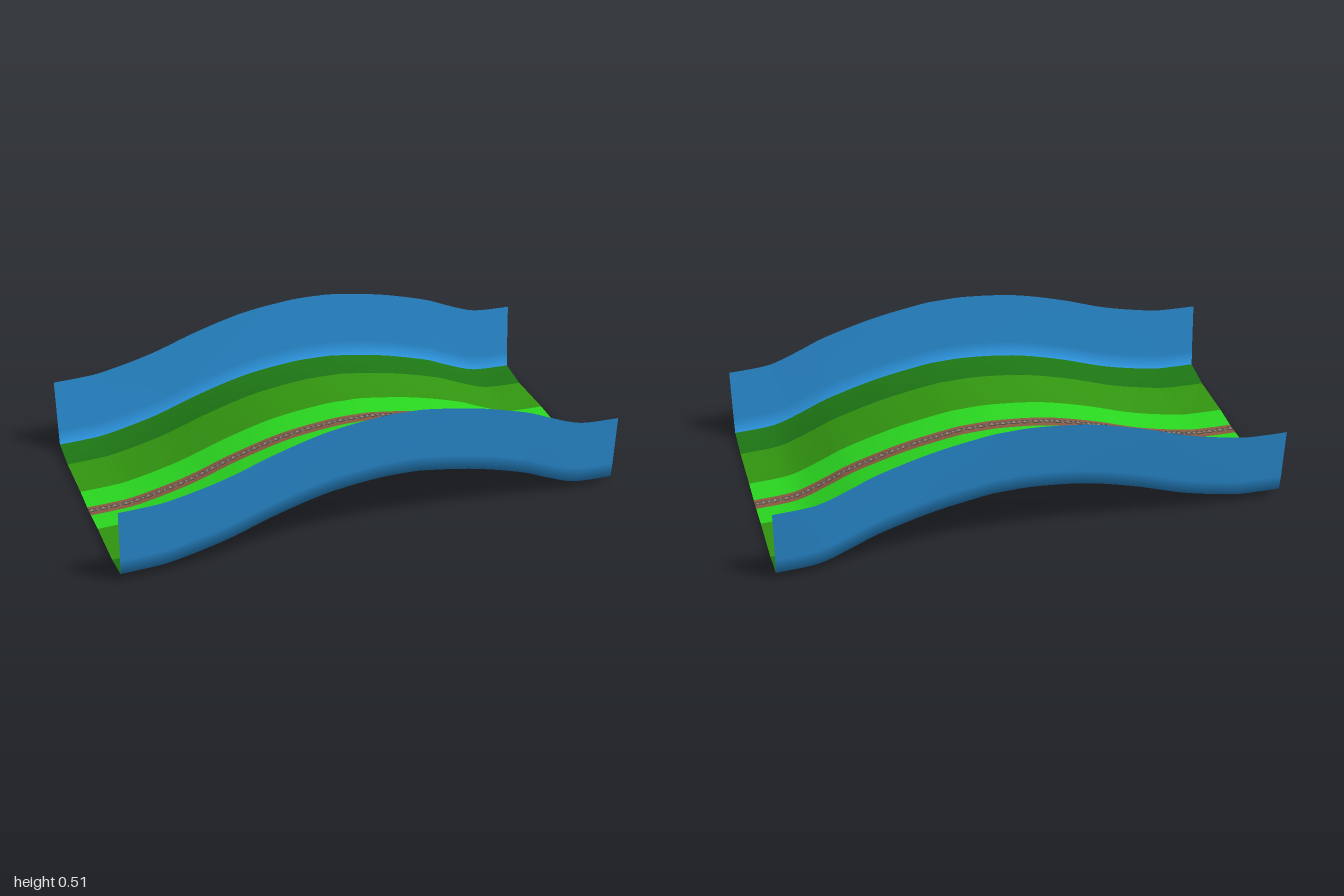
import * as THREE from 'three';
import { mergeGeometries } from 'three/addons/utils/BufferGeometryUtils.js';

const STEPS = 64;

// Height of the hill along x
const hill = new THREE.SplineCurve([
  [-1, 0.006], [-0.9, 0.008], [-0.8, 0.016], [-0.6, 0.061], [-0.4, 0.128], [-0.2, 0.18], [0, 0.203],
  [0.12, 0.203], [0.2, 0.197], [0.4, 0.161], [0.6, 0.104], [0.7, 0.062], [0.8, 0.021], [0.87, 0.006], [1, 0],
].map(([x, y]) => new THREE.Vector2(x, y)));
const hillPoints = hill.getSpacedPoints(STEPS);

// Half cross-section from the middle outwards: z, y
const half = [[0.03, 0.001], [0.14, 0.007], [0.36, 0.007], [0.49, 0.027], [0.497, 0.09], [0.511, 0.305]];
const section = [...half.map(([z, y]) => [-z, y]).reverse(), ...half];

// Whole sheet, so that the normals run smoothly over all bands
function makeSheet() {
  const positions = [];
  for (const p of hillPoints) for (const [z, y] of section) positions.push(p.x, p.y + y, z);
  const geometry = new THREE.BufferGeometry();
  geometry.setAttribute('position', new THREE.Float32BufferAttribute(positions, 3));
  geometry.setIndex(bandIndex(0, section.length - 1));
  geometry.computeVertexNormals();
  return geometry;
}

// Triangles of the sheet between two columns of the section
function bandIndex(from, to) {
  const n = section.length, index = [];
  for (let i = 0; i < STEPS; i++) {
    for (let j = from; j < to; j++) {
      const a = i * n + j, b = a + 1, c = a + n, d = c + 1;
      index.push(a, b, c, b, d, c);
    }
  }
  return index;
}

export function createModel() {
  const model = new THREE.Group();
  const sheet = makeSheet();
  const material = (color) => new THREE.MeshStandardMaterial({ color, side: THREE.DoubleSide });
  const blue = material(0x2a8fd6), darkGreen = material(0x1d7514);
  const green = material(0x329610), brightGreen = material(0x2ad820), brown = material(0x8a5a42);

  // Coloured bands from the back wall to the front wall
  const bands = [
    ['backWall', 0, 2, blue], ['backVerge', 2, 3, darkGreen], ['backField', 3, 4, green],
    ['backLawn', 4, 5, brightGreen], ['path', 5, 6, brown], ['frontLawn', 6, 7, brightGreen],
    ['frontField', 7, 8, green], ['frontVerge', 8, 9, darkGreen], ['frontWall', 9, 11, blue],
  ];
  for (const [name, from, to, mat] of bands) {
    const band = sheet.clone();
    band.setIndex(bandIndex(from, to));
    const mesh = new THREE.Mesh(band.toNonIndexed(), mat);
    mesh.name = name;
    model.add(mesh);
  }

  // Small chain lying along the middle of the path
  const plates = [], rollers = [];
  const count = 90;
  for (let i = 0; i < count; i++) {
    const u = (i + 0.5) / count;
    const p = hill.getPointAt(u), t = hill.getTangentAt(u);
    const place = (geometry, z) => geometry
      .translate(0, 0.002, z).rotateZ(Math.atan2(t.y, t.x)).translate(p.x, p.y + 0.001, 0);
    const offset = i % 2 ? 0.006 : 0.009;
    for (const side of [-1, 1]) plates.push(place(new THREE.BoxGeometry(0.02, 0.003, 0.003), side * offset));
    rollers.push(place(new THREE.BoxGeometry(0.009, 0.002, 0.016), 0));
  }
  const chain = new THREE.Group();
  chain.name = 'chain';
  const links = new THREE.Mesh(mergeGeometries(plates), new THREE.MeshStandardMaterial({ color: 0x55504e }));
  links.name = 'chainPlates';
  const pins = new THREE.Mesh(mergeGeometries(rollers), new THREE.MeshStandardMaterial({ color: 0x8c8886 }));
  pins.name = 'chainRollers';
  chain.add(links, pins);
  model.add(chain);
  return model;
}
